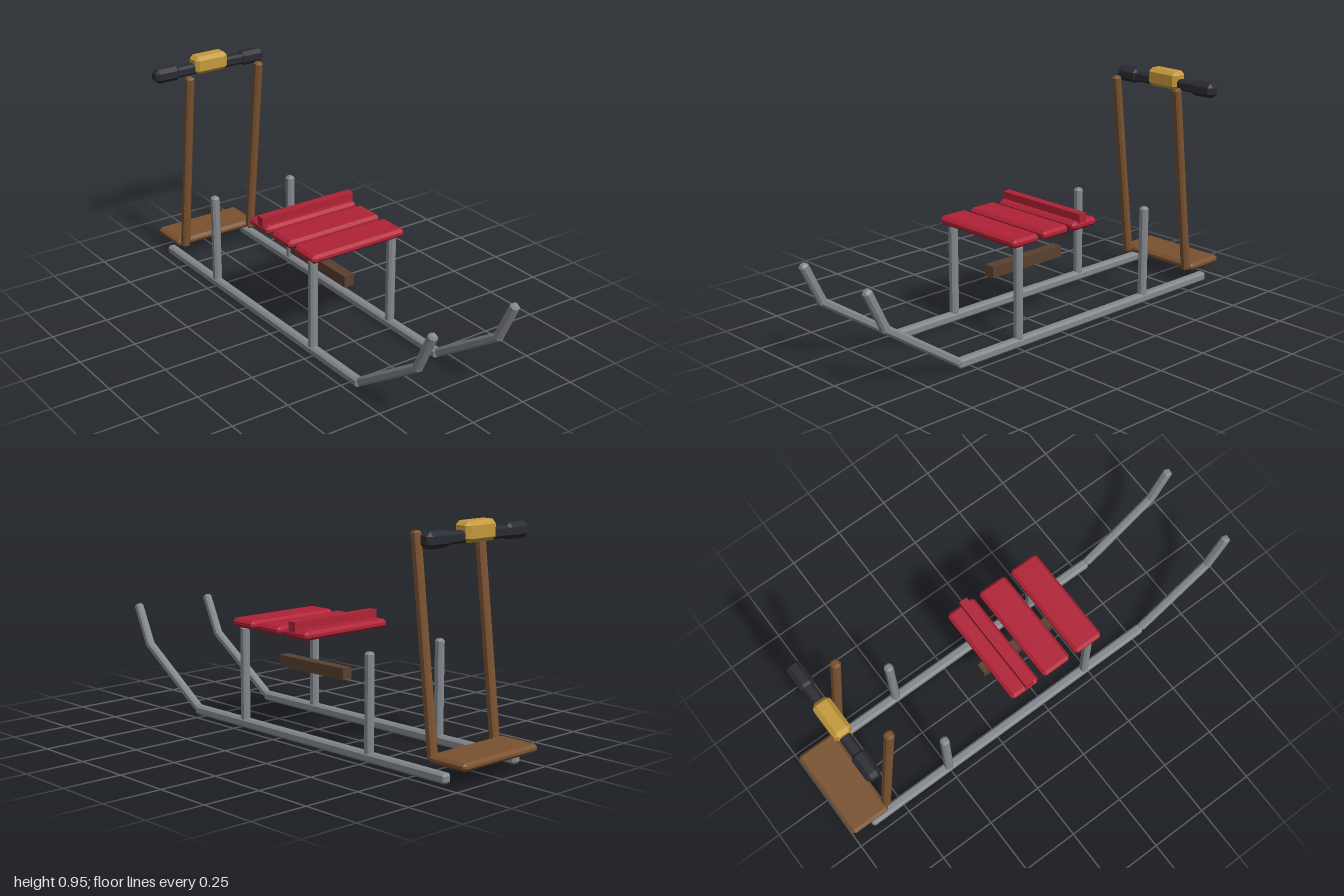
import * as THREE from 'three';
import { ConvexGeometry } from 'three/addons/geometries/ConvexGeometry.js';

function material(name, color) {
  const m = new THREE.MeshStandardMaterial({ color });
  m.name = name;
  return m;
}

// Box with chamfered edges and corners
function chamferBox(w, h, d, b) {
  const points = [];
  for (const x of [-1, 1]) for (const y of [-1, 1]) for (const z of [-1, 1]) {
    const [X, Y, Z] = [w / 2, h / 2, d / 2];
    points.push(
      new THREE.Vector3(x * X, y * (Y - b), z * (Z - b)),
      new THREE.Vector3(x * (X - b), y * Y, z * (Z - b)),
      new THREE.Vector3(x * (X - b), y * (Y - b), z * Z));
  }
  return new ConvexGeometry(points);
}

export function createModel() {
  const model = new THREE.Group();
  const steel = material('steel grey', 0x84888d);
  const wood = material('wood brown', 0x7a5230);
  const darkWood = material('dark wood', 0x5a4030);
  const red = material('seat red', 0xb02236);
  const black = material('grip black', 0x2a2b33);
  const gold = material('gold', 0xc49a3c);

  const add = (name, geometry, mat, x, y, z) => {
    const mesh = new THREE.Mesh(geometry, mat);
    mesh.name = name;
    mesh.position.set(x, y, z);
    model.add(mesh);
    return mesh;
  };

  // Chamfered bar running between two [y, z] points at a given x
  const bar = (name, mat, x, [y0, z0], [y1, z1], size) => {
    const length = Math.hypot(y1 - y0, z1 - z0);
    const mesh = add(name, chamferBox(size, length, size, 0.009), mat, x, (y0 + y1) / 2, (z0 + z1) / 2);
    mesh.rotation.x = Math.atan2(z1 - z0, y1 - y0);
  };

  for (const [side, s] of [['left', 1], ['right', -1]]) {
    const x = s * 0.196;
    // Runner with upswept tip
    bar(side + 'Runner', steel, x, [0.022, -0.908], [0.022, 0.558], 0.04);
    bar(side + 'RunnerCurve', steel, x, [0.027, 0.552], [0.27, 0.915], 0.036);
    bar(side + 'RunnerTip', steel, x, [0.25, 0.896], [0.433, 0.984], 0.036);
    // Uprights
    bar(side + 'FrontPost', steel, x, [0.03, 0.235], [0.433, 0.235], 0.036);
    bar(side + 'RearPost', steel, x, [0.03, -0.5], [0.433, -0.5], 0.036);
    // Leaning handle post and grip
    bar(side + 'HandlePost', wood, s * 0.175, [0.067, -0.812], [0.912, -0.712], 0.037);
    add(side + 'Grip', chamferBox(0.122, 0.063, 0.063, 0.017), black, s * 0.216, 0.895, -0.847);
  }

  // Seat slats and raised rear strip
  for (const z of [0.215, 0.051, -0.111])
    add('seatSlat', chamferBox(0.456, 0.036, 0.136, 0.012), red, 0, 0.448, z);
  add('seatStrip', new THREE.BoxGeometry(0.456, 0.04, 0.037), red, 0, 0.478, -0.093);

  // Beam under the seat
  add('centreBeam', new THREE.BoxGeometry(0.048, 0.048, 0.39), darkWood, 0, 0.267, 0.02);

  // Footboard
  add('footboard', chamferBox(0.418, 0.034, 0.185, 0.012), wood, 0, 0.082, -0.9075);

  // Handlebar and its pouch
  add('handlebar', chamferBox(0.42, 0.046, 0.046, 0.01), black, 0, 0.894, -0.847);
  add('handlebarPouch', chamferBox(0.164, 0.08, 0.077, 0.016), gold, 0, 0.91, -0.847);

  return model;
}
